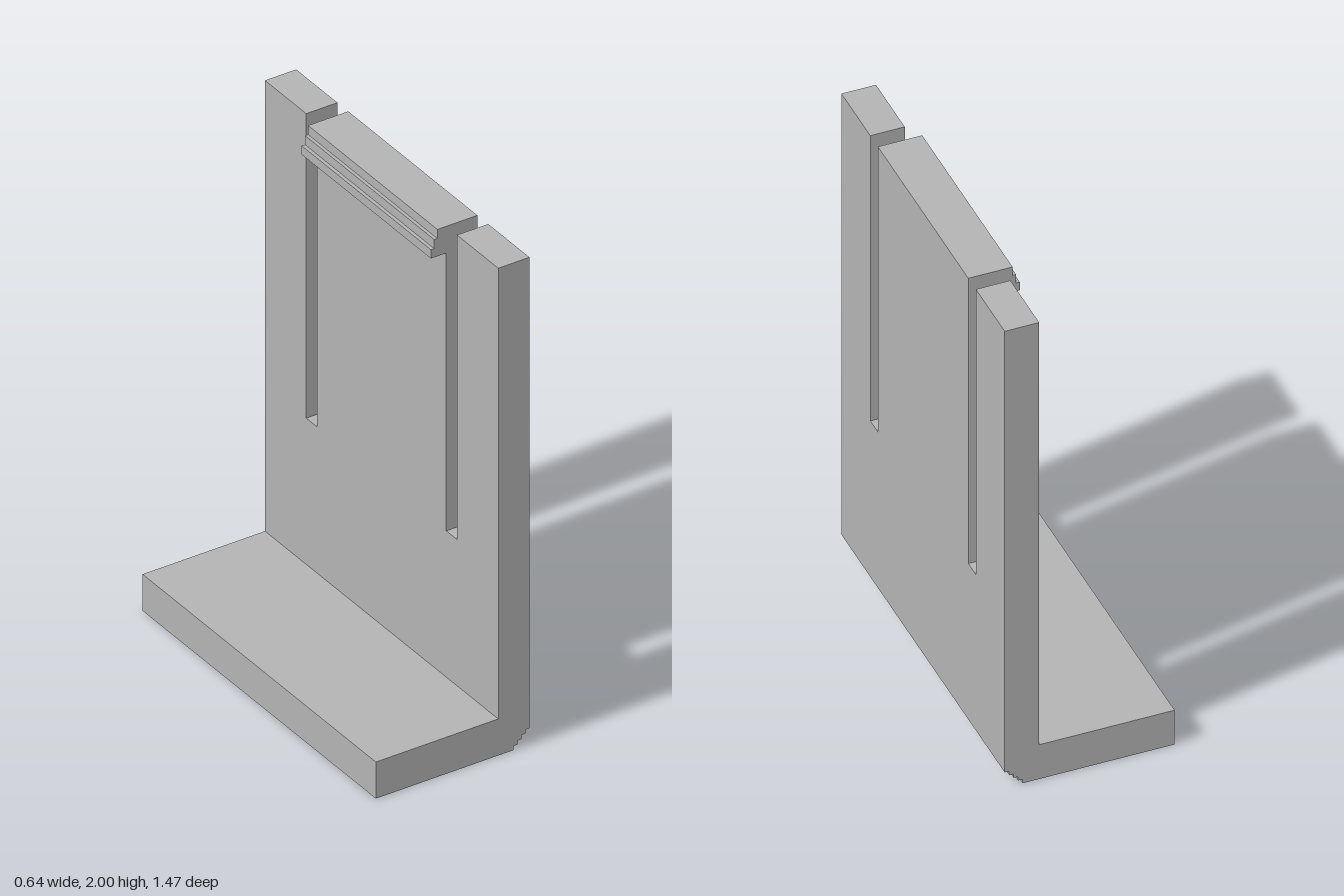
import * as THREE from 'three';

const HALF = 0.735;             // half width along z
const WALL_IN = 0.19, OUT = 0.32; // inner and outer faces of the wall
const SLOT_Y = 0.75;            // bottom of the slots

export function createModel() {
  const group = new THREE.Group();
  const grey = new THREE.MeshStandardMaterial({ color: 0xb3b3b3 });
  grey.name = 'grey';

  // Extrudes an x-y profile along z, centred on z = 0
  function addProfile(name, points, halfWidth, z = 0) {
    const shape = new THREE.Shape(points.map(([x, y]) => new THREE.Vector2(x, y)));
    const geometry = new THREE.ExtrudeGeometry(shape, { depth: halfWidth * 2, bevelEnabled: false });
    geometry.translate(0, 0, z - halfWidth);
    const mesh = new THREE.Mesh(geometry, grey);
    mesh.name = name;
    group.add(mesh);
  }

  // L-shaped base with a stepped chamfer under the outer corner
  const step = 0.0168, base = [[-0.32, 0]];
  for (let i = 0; i < 4; i++) {
    const x = OUT - (4 - i) * step;
    base.push([x, i * step], [x, (i + 1) * step]);
  }
  base.push([OUT, 4 * step], [OUT, SLOT_Y], [WALL_IN, SLOT_Y], [WALL_IN, 0.15], [-0.32, 0.15]);
  addProfile('base', base, HALF);

  // Side uprights beyond the slots
  const upright = [[WALL_IN, SLOT_Y], [OUT, SLOT_Y], [OUT, 2], [WALL_IN, 2]];
  for (const side of [-1, 1]) {
    addProfile(side > 0 ? 'frontUpright' : 'backUpright', upright, (HALF - 0.475) / 2, side * (HALF + 0.475) / 2);
  }

  // Middle tongue with its stepped catch at the top
  addProfile('tongue', [
    [WALL_IN, SLOT_Y], [OUT, SLOT_Y], [OUT, 2],
    [0.153, 2], [0.153, 1.963], [0.14, 1.963], [0.14, 1.926],
    [0.126, 1.926], [0.126, 1.89], [WALL_IN, 1.89],
  ], 0.407);

  return group;
}
